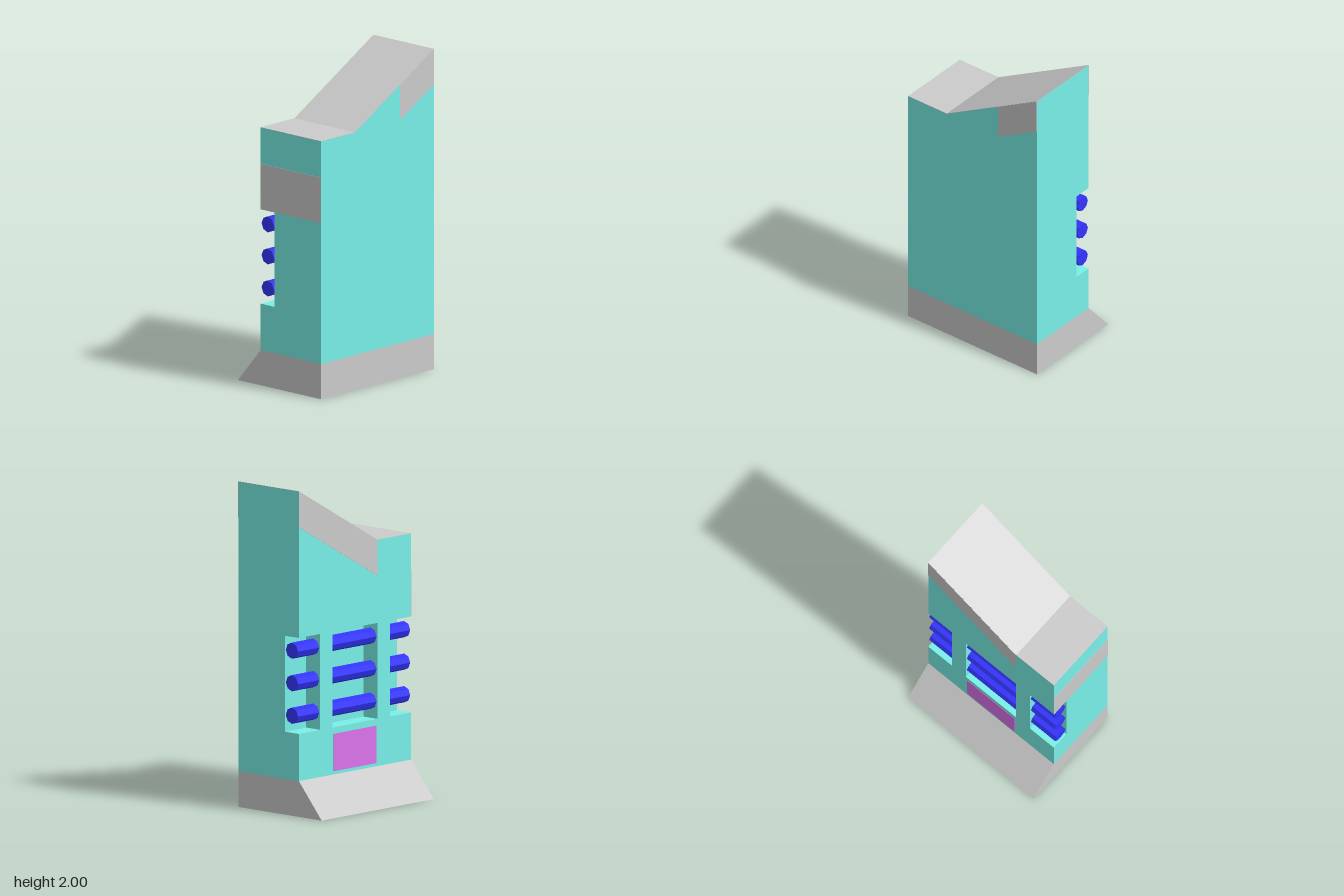
import * as THREE from 'three';

const mat = (color) => new THREE.MeshStandardMaterial({ color, flatShading: true });
const TEAL = mat(0x78f0e8), GREY = mat(0xcccccc), BLUE = mat(0x3434ff), PURPLE = mat(0xdc74ec);

// Main levels
const FRONT = 0.344, BACK = -0.156, POCKET = -0.04, TOE = -0.344;
const BASE = 0.22, SLOT_LOW = 0.51, SLOT_HIGH = 1.1;
const SHOULDER = 1.61, SKIN = 0.002;
const slopeY = (x) => SHOULDER + (x + 0.2) * (2 - SHOULDER) / 0.7;

const toShape = (pts) => new THREE.Shape(pts.map(([x, y]) => new THREE.Vector2(x, y)));

export function createModel() {
  const group = new THREE.Group();

  const add = (name, geometry, material) => {
    const mesh = new THREE.Mesh(geometry, material);
    mesh.name = name;
    group.add(mesh);
    return mesh;
  };
  // Outline in x/y, extruded between two z values
  const slab = (name, shape, z0, z1, material) => {
    const g = new THREE.ExtrudeGeometry(shape, { depth: z1 - z0, bevelEnabled: false });
    return add(name, g.translate(0, 0, z0), material);
  };

  // Base with a sloping toe at the back
  const baseShape = toShape([[-FRONT, 0], [-TOE, 0], [-BACK, BASE], [-FRONT, BASE]]);
  const base = new THREE.ExtrudeGeometry(baseShape, { depth: 1, bevelEnabled: false });
  add('base', base.translate(0, 0, -0.5).rotateY(Math.PI / 2), GREY);

  // Solid front part of the body
  const top = [[0.5, 2], [-0.2, SHOULDER], [-0.5, SHOULDER]];
  slab('bodyFront', toShape([[-0.5, BASE], [0.5, BASE], ...top]), POCKET, FRONT, TEAL);

  // Back layer: open pockets at both sides, a closed one in the middle
  const backShape = toShape([
    [-0.5, BASE], [0.5, BASE], [0.5, SLOT_LOW], [0.31, SLOT_LOW], [0.31, SLOT_HIGH], [0.5, SLOT_HIGH],
    ...top,
    [-0.5, SLOT_HIGH], [-0.31, SLOT_HIGH], [-0.31, SLOT_LOW], [-0.5, SLOT_LOW],
  ]);
  backShape.holes.push(toShape([[-0.2, SLOT_LOW], [-0.2, SLOT_HIGH], [0.2, SLOT_HIGH], [0.2, SLOT_LOW]]));
  slab('bodyBack', backShape, BACK, POCKET, TEAL);

  // Grey roof skin
  slab('roof', toShape([
    [-0.5, SHOULDER], [-0.2, SHOULDER], [0.5, 2],
    [0.5, 2 + SKIN], [-0.2, SHOULDER + SKIN], [-0.5, SHOULDER + SKIN],
  ]), BACK, FRONT, GREY);

  // Grey bands under the slope, short on the front and full length on the back
  const band = (x0) => toShape([
    [x0, slopeY(x0) - 0.22], [0.5, 1.78], [0.5, 2], [x0, slopeY(x0)],
  ]);
  slab('frontBand', band(0.2), FRONT, FRONT + SKIN, GREY);
  slab('backBand', band(-0.2), BACK - SKIN, BACK, GREY);

  // Grey band on the low side
  add('sideBand', new THREE.BoxGeometry(SKIN, 0.285, FRONT - BACK), GREY)
    .position.set(-0.5 - SKIN / 2, SLOT_HIGH + 0.1425, (FRONT + BACK) / 2);

  // Purple panel under the middle pocket
  add('backPanel', new THREE.BoxGeometry(0.38, 0.23, SKIN), PURPLE)
    .position.set(0, 0.355, BACK - SKIN / 2);

  // Three bars running through the pockets
  for (const y of [0.615, 0.815, 1.015]) {
    const bar = add('bar', new THREE.CylinderGeometry(0.05, 0.05, 1, 8), BLUE);
    bar.rotation.z = Math.PI / 2;
    bar.position.set(0, y, -0.098);
  }
  return group;
}
